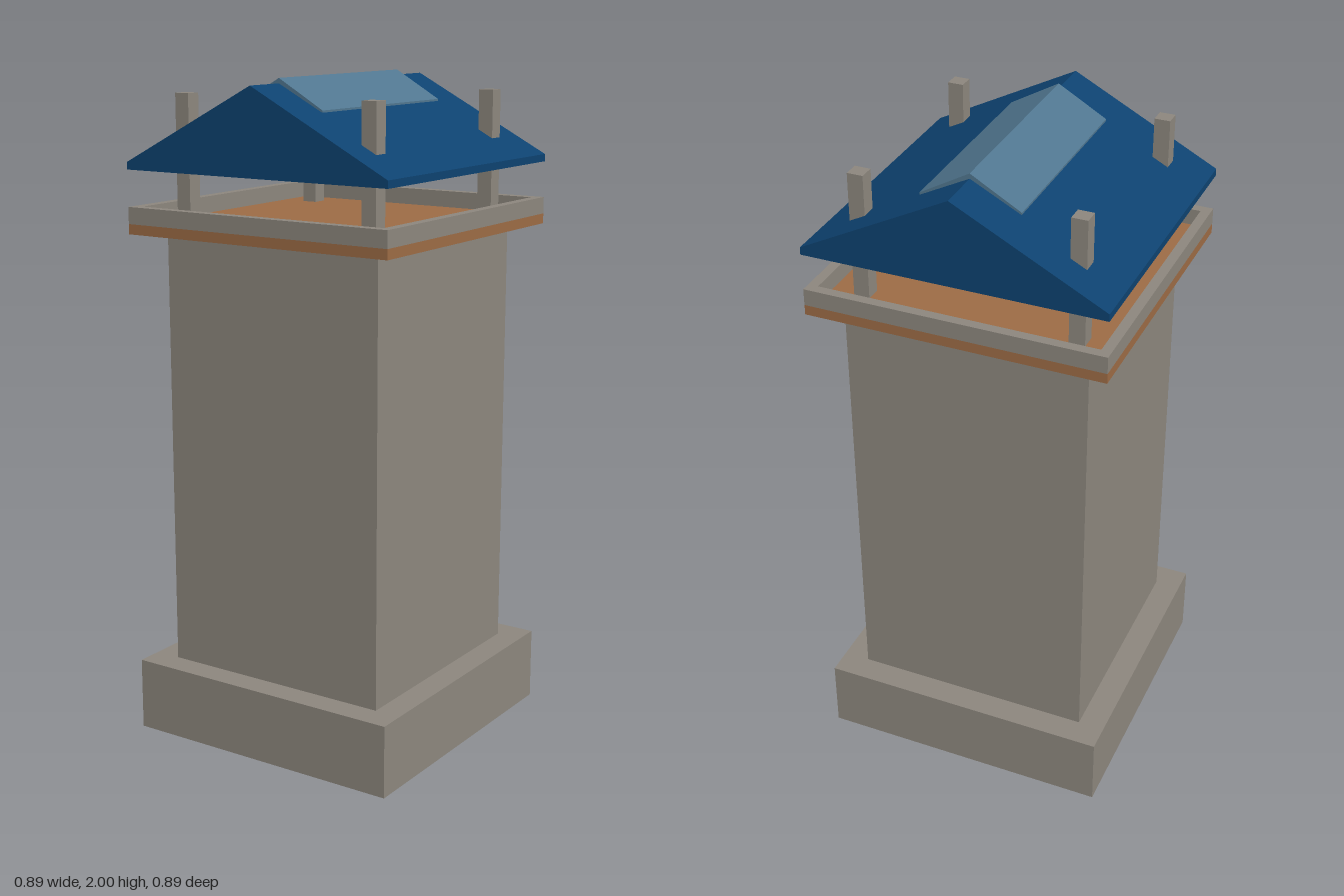
import * as THREE from 'three';

const stone = new THREE.MeshStandardMaterial({ color: 0x8c867d });
stone.name = 'stone';
const wood = new THREE.MeshStandardMaterial({ color: 0x9c6b45 });
wood.name = 'wood';
const roofBlue = new THREE.MeshStandardMaterial({ color: 0x0d4270 });
roofBlue.name = 'roofBlue';
const paleBlue = new THREE.MeshStandardMaterial({ color: 0x50768f });
paleBlue.name = 'paleBlue';

const HALF = 0.445; // half width of base, platform and roof

export function createModel() {
  const model = new THREE.Group();
  model.name = 'watchtower';

  const add = (name, geometry, material) => {
    const mesh = new THREE.Mesh(geometry, material);
    mesh.name = name;
    model.add(mesh);
    return mesh;
  };
  // Square block standing between two heights
  const block = (name, width, y0, y1, material, x = 0, z = 0) =>
    add(name, new THREE.BoxGeometry(width, y1 - y0, width), material).position.set(x, (y0 + y1) / 2, z);
  // Outline in x and y, extruded evenly along z
  const prism = (name, points, halfDepth, material) => {
    const shape = new THREE.Shape(points.map(([x, y]) => new THREE.Vector2(x, y)));
    const geometry = new THREE.ExtrudeGeometry(shape, { depth: halfDepth * 2, bevelEnabled: false });
    add(name, geometry.translate(0, 0, -halfDepth), material);
  };

  // Plinth, shaft and lookout floor
  block('base', HALF * 2, 0, 0.22, stone);
  block('shaft', 0.73, 0.22, 1.545, stone);
  block('platformFloor', HALF * 2, 1.545, 1.575, wood);

  // Low parapet around the floor
  const square = (r) => [[-r, -r], [r, -r], [r, r], [-r, r]].map(([x, y]) => new THREE.Vector2(x, y));
  const rim = new THREE.Shape(square(HALF));
  rim.holes.push(new THREE.Path(square(HALF - 0.03)));
  const rimGeometry = new THREE.ExtrudeGeometry(rim, { depth: 0.05, bevelEnabled: false });
  add('parapet', rimGeometry.rotateX(-Math.PI / 2).translate(0, 1.575, 0), stone);

  // Corner posts passing through the roof
  for (const x of [-0.32, 0.32]) {
    for (const z of [-0.32, 0.32]) block('cornerPost', 0.047, 1.575, 1.95, stone, x, z);
  }

  // Gabled roof with a raised ridge cap
  prism('roof', [[-HALF, 1.733], [HALF, 1.733], [HALF, 1.755], [0, 1.985], [-HALF, 1.755]], HALF, roofBlue);
  prism('ridgeCap', [[-0.147, 1.91], [0.147, 1.91], [0.147, 1.916], [0, 2], [-0.147, 1.916]], 0.31, paleBlue);

  return model;
}
